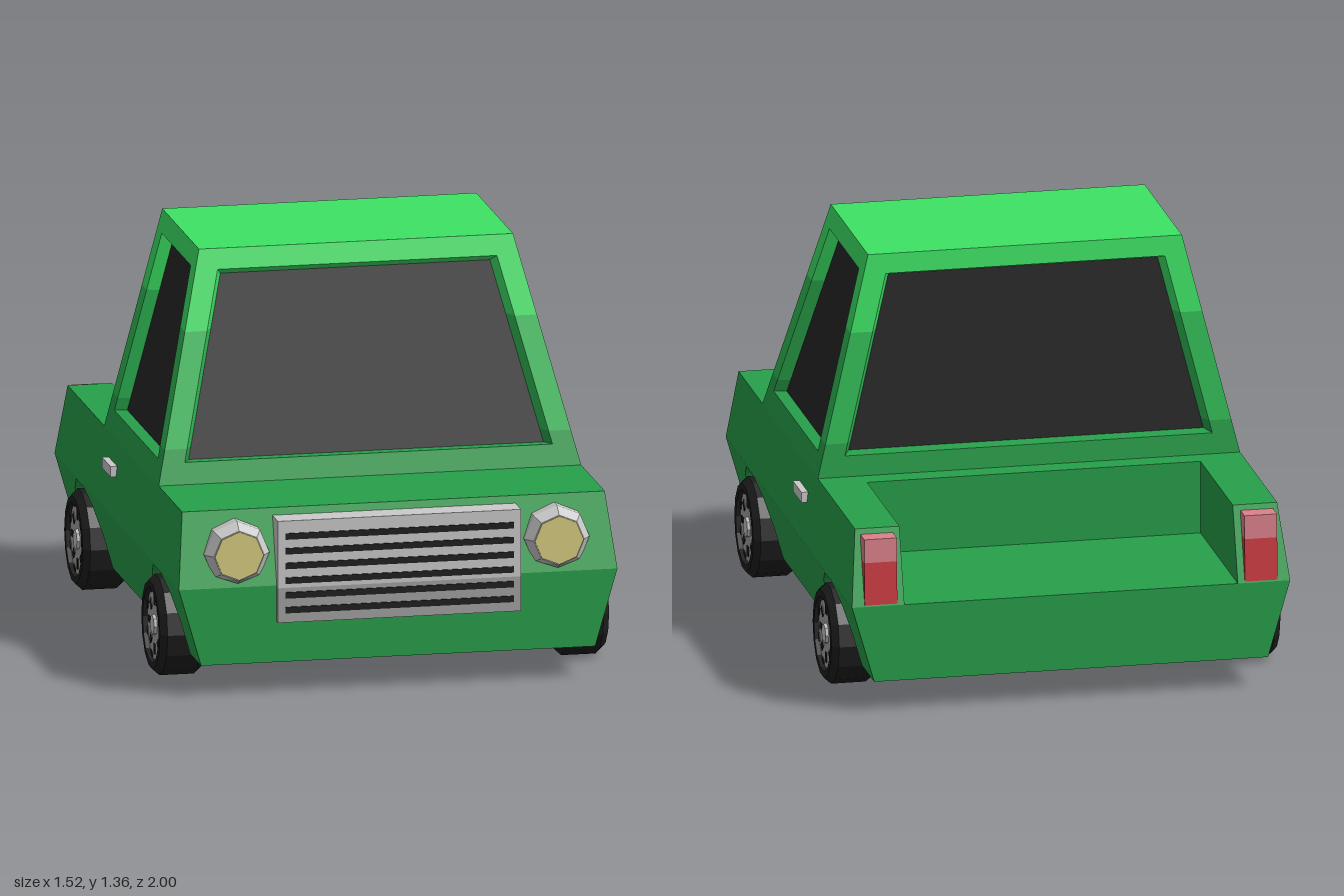
import * as THREE from 'three';

const mat = (name, color) => Object.assign(new THREE.MeshStandardMaterial({ color }), { name });
const M = {
  dark: mat('dark green paint', 0x279f4a),
  mid: mat('middle green paint', 0x30bb56),
  bright: mat('bright green paint', 0x3ce264),
  glass: mat('dark glass', 0x252525),
  tyre: mat('black rubber', 0x1e1e1e),
  chrome: mat('light chrome', 0xcacaca),
  steel: mat('grey steel', 0xa2a2a2),
  lamp: mat('lamp yellow', 0xd6cc80),
  red: mat('tail red', 0xcf3d44),
  pink: mat('tail pink', 0xdd818b),
};

// Faceted copy of a geometry
function flat(geo) {
  const g = geo.index ? geo.toNonIndexed() : geo;
  g.computeVertexNormals();
  return g;
}

function add(parent, name, geo, material, x = 0, y = 0, z = 0) {
  const m = new THREE.Mesh(flat(geo), material);
  m.name = name;
  m.position.set(x, y, z);
  parent.add(m);
  return m;
}

// Triangles from convex polygons of Vector3
function polygons(list) {
  const pos = [];
  for (const p of list)
    for (let i = 1; i < p.length - 1; i++)
      for (const v of [p[0], p[i], p[i + 1]]) pos.push(v.x, v.y, v.z);
  const g = new THREE.BufferGeometry();
  g.setAttribute('position', new THREE.Float32BufferAttribute(pos, 3));
  return g;
}

// Keep the part of a polygon above (s = 1) or below (s = -1) a height
function clip(poly, h, s) {
  const out = [];
  poly.forEach((a, i) => {
    const b = poly[(i + 1) % poly.length];
    const da = s * (a.y - h), db = s * (b.y - h);
    if (da >= 0) out.push(a);
    if (da * db < 0) out.push(a.clone().lerp(b, da / (da - db)));
  });
  return out;
}

// Paint a geometry in horizontal bands, from the lowest up
function banded(parent, name, geo, cuts, mats) {
  const src = geo.index ? geo.toNonIndexed() : geo;
  const p = src.attributes.position;
  const group = new THREE.Group();
  group.name = name;
  mats.forEach((material, k) => {
    const list = [];
    for (let i = 0; i < p.count; i += 3) {
      let t = [0, 1, 2].map(j => new THREE.Vector3().fromBufferAttribute(p, i + j));
      if (k > 0) t = clip(t, cuts[k - 1], 1);
      if (k < cuts.length) t = clip(t, cuts[k], -1);
      if (t.length > 2) list.push(t);
    }
    if (list.length) add(group, name + 'Band', polygons(list), material);
  });
  parent.add(group);
}

// Tapered block: bottom and top rectangles are [x0, x1, z0, z1]
function block(y0, y1, bottom, top) {
  const g = new THREE.BoxGeometry(1, 1, 1);
  const p = g.attributes.position;
  for (let i = 0; i < p.count; i++) {
    const up = p.getY(i) > 0, r = up ? top : bottom;
    p.setXYZ(i, r[p.getX(i) > 0 ? 1 : 0], up ? y1 : y0, r[p.getZ(i) > 0 ? 3 : 2]);
  }
  return g;
}

const AXLES = [0.61, -0.615];

function buildBody(car) {
  // Lower body with wheel arches, narrowing towards the bottom
  const arch = [[-0.19, 0.11], [-0.19, 0.22], [-0.14, 0.31], [-0.06, 0.358],
    [0.06, 0.358], [0.14, 0.31], [0.19, 0.22], [0.19, 0.11]];
  const outline = [[-1, 0.11]];
  for (const z of [...AXLES].reverse()) for (const [a, y] of arch) outline.push([z + a, y]);
  outline.push([0.975, 0.11], [0.975, 0.37], [-1, 0.37]);
  const lower = new THREE.ExtrudeGeometry(new THREE.Shape(outline.map(p => new THREE.Vector2(...p))),
    { depth: 2, bevelEnabled: false });
  lower.translate(0, 0, -1).rotateY(-Math.PI / 2);
  const p = lower.attributes.position;
  for (let i = 0; i < p.count; i++)
    p.setX(i, p.getX(i) * (0.665 + (p.getY(i) - 0.11) / 0.26 * 0.075));
  add(car, 'lowerBody', lower, M.dark);
  for (const z of AXLES)
    add(car, 'wheelWellCore', new THREE.BoxGeometry(1.18, 0.25, 0.4), M.dark, 0, 0.235, z);

  // Bonnet block and the two bed walls
  add(car, 'upperBody', block(0.37, 0.617, [-0.74, 0.74, -0.415, 0.975], [-0.713, 0.713, -0.415, 0.9]), M.dark);
  add(car, 'leftBedWall', block(0.37, 0.617, [0.563, 0.74, -1, -0.415], [0.563, 0.713, -0.92, -0.415]), M.dark);
  add(car, 'rightBedWall', block(0.37, 0.617, [-0.74, -0.563, -1, -0.415], [-0.713, -0.563, -0.92, -0.415]), M.dark);
}

function buildCabin(car) {
  const V = (x, y, z) => new THREE.Vector3(x, y, z);
  const ring = (x, y, zf, zb) => [V(-x, y, zf), V(x, y, zf), V(x, y, zb), V(-x, y, zb)];
  const base = ring(0.713, 0.617, 0.527, -0.34);
  const top = ring(0.53, 1.36, 0.305, -0.278);
  const painted = [top];
  ['windscreen', 'leftWindow', 'rearWindow', 'rightWindow'].forEach((name, i) => {
    const j = (i + 1) % 4;
    const outer = [base[i], base[j], top[j], top[i]];
    // Window opening, set in from the edges of the face
    const row = v => {
      const a = base[i].clone().lerp(top[i], v), b = base[j].clone().lerp(top[j], v);
      const d = b.clone().sub(a).setLength(0.075);
      return [a.add(d), b.sub(d)];
    };
    const [bl, br] = row(0.095), [tl, tr] = row(0.91);
    const hole = [bl, br, tr, tl];
    const normal = br.clone().sub(bl).cross(tl.clone().sub(bl)).normalize();
    const centre = hole.reduce((s, v) => s.add(v), V(0, 0, 0)).divideScalar(4);
    const inner = hole.map(v => v.clone().lerp(centre, 0.035).addScaledVector(normal, -0.04));
    // Frame and recess walls
    for (let k = 0; k < 4; k++) {
      const n = (k + 1) % 4;
      painted.push([outer[k], outer[n], hole[n], hole[k]], [hole[k], hole[n], inner[n], inner[k]]);
    }
    add(car, name, polygons([inner]), M.glass);
  });
  banded(car, 'cabin', polygons(painted), [0.73, 1.1], [M.dark, M.mid, M.bright]);
}

function buildFittings(car) {
  // Grille with six slots
  const grille = new THREE.BoxGeometry(0.82, 0.345, 0.096).translate(0, 0.42, 0.948);
  banded(car, 'grille', grille, [0.365], [M.steel, M.chrome]);
  for (let i = 0; i < 6; i++)
    add(car, 'grilleSlot', new THREE.BoxGeometry(0.77, 0.021, 0.008), M.tyre, 0, 0.29 + i * 0.05, 0.996);

  for (const s of [-1, 1]) {
    // Octagonal headlamps
    const rim = new THREE.LatheGeometry([[0, 0.89], [0.11, 0.89], [0.11, 0.955], [0.085, 0.99], [0, 0.99]]
      .map(p => new THREE.Vector2(...p)), 8);
    rim.rotateX(Math.PI / 2).translate(s * 0.54, 0.48, 0);
    banded(car, 'headlampRim', rim, [0.4], [M.steel, M.chrome]);
    add(car, 'headlampLens', new THREE.CylinderGeometry(0.082, 0.082, 0.006, 8).rotateX(Math.PI / 2),
      M.lamp, s * 0.54, 0.48, 0.992);

    // Tail lamps
    const x = [s * 0.642 - 0.055, s * 0.642 + 0.055];
    banded(car, 'tailLamp', block(0.375, 0.6, [...x, -1, -0.93], [...x, -0.993, -0.93]), [0.52], [M.red, M.pink]);

    // Door handles
    add(car, 'doorHandle', new THREE.BoxGeometry(0.04, 0.036, 0.135), M.chrome, s * 0.724, 0.52, -0.16);
  }
}

// Wheel lying on its axis, outer face up
function buildWheel() {
  const wheel = new THREE.Group();
  wheel.name = 'wheel';
  const tyre = [[0, -0.08], [0.148, -0.08], [0.168, -0.058], [0.168, 0.058], [0.148, 0.08], [0.126, 0.08], [0.122, 0.055]];
  add(wheel, 'tyre', new THREE.LatheGeometry(tyre.map(p => new THREE.Vector2(...p)), 14), M.tyre);
  add(wheel, 'rim', new THREE.CylinderGeometry(0.124, 0.124, 0.03, 14), M.steel, 0, 0.05, 0);
  add(wheel, 'hubCap', new THREE.CylinderGeometry(0.033, 0.037, 0.012, 8), M.chrome, 0, 0.069, 0);
  for (let i = 0; i < 8; i++) {
    const a = i * Math.PI / 4;
    const slot = add(wheel, 'rimSlot', new THREE.BoxGeometry(0.022, 0.006, 0.034), M.tyre,
      Math.sin(a) * 0.083, 0.065, Math.cos(a) * 0.083);
    slot.rotation.y = a;
    const b = a + Math.PI / 8;
    const notch = add(wheel, 'rimNotch', new THREE.BoxGeometry(0.03, 0.006, 0.012), M.tyre,
      Math.sin(b) * 0.117, 0.065, Math.cos(b) * 0.117);
    notch.rotation.y = b;
  }
  return wheel;
}

export function createModel() {
  const car = new THREE.Group();
  car.name = 'pickupTruck';
  buildBody(car);
  buildCabin(car);
  buildFittings(car);
  for (const z of AXLES)
    for (const s of [-1, 1]) {
      const wheel = buildWheel();
      wheel.rotation.z = -s * Math.PI / 2;
      wheel.position.set(s * 0.678, 0.168, z);
      car.add(wheel);
    }
  return car;
}
